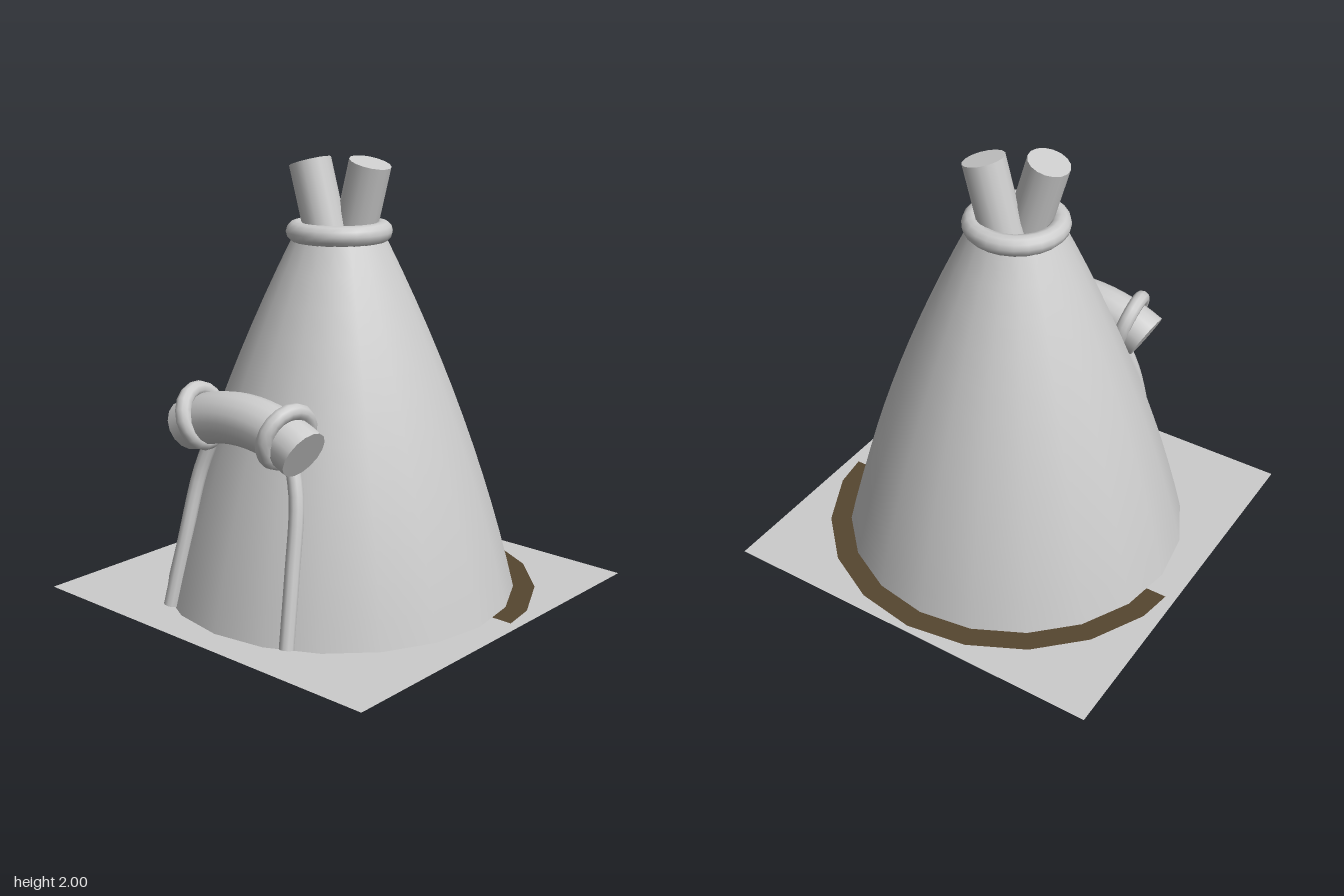
import * as THREE from 'three';

export function createModel() {
  const model = new THREE.Group();
  const grey = new THREE.MeshStandardMaterial({ color: 0xcccccc, side: THREE.DoubleSide });
  grey.name = 'canvas grey';
  const brown = new THREE.MeshStandardMaterial({ color: 0x564630, side: THREE.DoubleSide });
  brown.name = 'earth brown';

  const add = (name, geometry, material = grey, parent = model) => {
    const mesh = new THREE.Mesh(geometry, material);
    mesh.name = name;
    parent.add(mesh);
    return mesh;
  };

  // Ground square, with an earth disc that cuts through it at a very slight tilt
  add('ground', new THREE.PlaneGeometry(1.9, 1.9).rotateX(-Math.PI / 2));
  const disc = add('earthDisc',
    new THREE.CircleGeometry(0.92, 20).rotateX(-Math.PI / 2).translate(0, 0, 0.12), brown);
  disc.position.z = -0.12;
  disc.rotation.x = 0.004;

  // Tent wall: bulging cone, steeper at the foot
  const profile = [];
  for (let i = 0; i <= 12; i++) {
    const y = (1.64 * i) / 12;
    profile.push(new THREE.Vector2(0.82 - 0.24 * y - 0.08 * y * y, y));
  }
  add('tentWall', new THREE.LatheGeometry(profile, 20));
  const lid = add('tentTop', new THREE.CircleGeometry(0.2, 20).rotateX(-Math.PI / 2));
  lid.position.y = 1.63;

  // Rolled collar around the smoke hole
  const collar = add('collar', new THREE.TorusGeometry(0.193, 0.047, 12, 24).rotateX(Math.PI / 2));
  collar.position.y = 1.668;

  // Two leaning poles crossing at the top
  for (const [x, z, lean] of [[0.12, -0.07, -0.27], [-0.13, 0.05, 0.29]]) {
    const pole = add('topPole', new THREE.CylinderGeometry(0.096, 0.096, 0.42, 16).translate(0, -0.21, 0));
    pole.position.set(x, 1.973, z);
    pole.rotation.z = lean;
  }

  // Rolled door flap: a bent cylinder with capped ends
  const roll = new THREE.Group();
  roll.name = 'doorRoll';
  const bend = 0.74, half = 0.49, thick = 0.115;
  roll.position.set(0, 0.92 - bend, 0.618);
  model.add(roll);
  add('rollBody', new THREE.TorusGeometry(bend, thick, 16, 14, half * 2).rotateZ(Math.PI / 2 - half), grey, roll);

  for (const s of [-1, 1]) {
    const cap = add('rollEnd', new THREE.CircleGeometry(thick, 16).rotateY(s * Math.PI / 2), grey, roll);
    cap.position.set(s * bend * Math.sin(half), bend * Math.cos(half), 0);
    cap.rotation.z = -s * half;

    // Tie ring around the roll
    const ring = add('tieRing', new THREE.TorusGeometry(0.12, 0.036, 10, 18).rotateY(Math.PI / 2 - s * 0.12));
    ring.position.set(s * 0.255, 0.895, 0.623);
    ring.rotation.z = -s * 0.29;

    // Door post curving up into the roll
    const path = new THREE.CatmullRomCurve3([
      [0.36, 0.01, 0.745], [0.33, 0.32, 0.675], [0.295, 0.62, 0.608], [0.235, 0.8, 0.575],
    ].map(([x, y, z]) => new THREE.Vector3(s * x, y, z)));
    add('doorPost', new THREE.TubeGeometry(path, 14, 0.033, 10));
  }

  return model;
}
